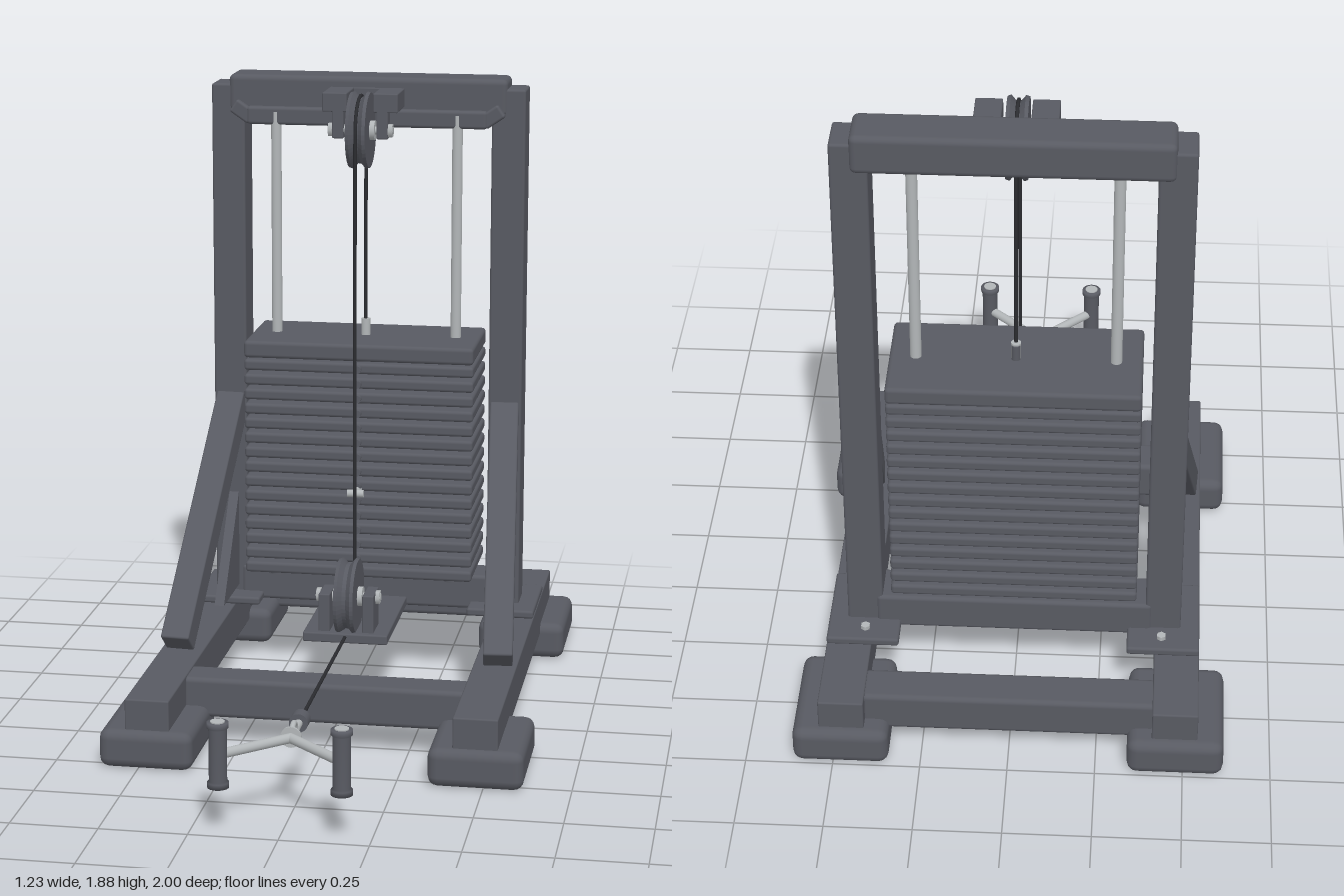
import * as THREE from 'three';
import { RoundedBoxGeometry } from 'three/addons/geometries/RoundedBoxGeometry.js';

const mat = (name, color) => Object.assign(new THREE.MeshStandardMaterial({ color }), { name });

export function createModel() {
  const model = new THREE.Group();
  model.name = 'cableWeightMachine';
  const frame = mat('frameGrey', 0x585a62);
  const metal = mat('brightSteel', 0xb2b6b8);
  const cableMat = mat('cableBlack', 0x2b2c30);
  const V = (x, y, z) => new THREE.Vector3(x, y, z);

  const add = (name, geo, m, parent = model) => {
    const mesh = new THREE.Mesh(geo, m);
    mesh.name = name;
    parent.add(mesh);
    return mesh;
  };
  // Rounded box given by its min and max on each axis
  const box = (name, x0, x1, y0, y1, z0, z1, r = 0.008, m = frame) => {
    const mesh = add(name, new RoundedBoxGeometry(x1 - x0, y1 - y0, z1 - z0, 2, r), m);
    mesh.position.set((x0 + x1) / 2, (y0 + y1) / 2, (z0 + z1) / 2);
    return mesh;
  };
  // Box mirrored to both sides
  const pair = (name, x0, x1, ...rest) => {
    box(name, x0, x1, ...rest);
    box(name, -x1, -x0, ...rest);
  };
  // Cylinder between two points
  const rod = (name, a, b, r, m, sides = 20) => {
    const mesh = add(name, new THREE.CylinderGeometry(r, r, a.distanceTo(b), sides), m);
    mesh.position.copy(a).add(b).multiplyScalar(0.5);
    mesh.quaternion.setFromUnitVectors(V(0, 1, 0), b.clone().sub(a).normalize());
    return mesh;
  };

  // Base: feet, rails, cross beams
  pair('frontFoot', 0.34, 0.615, 0, 0.115, 0.2, 0.545, 0.03);
  pair('backFoot', 0.34, 0.615, 0, 0.115, -1, -0.655, 0.03);
  pair('sideRail', 0.41, 0.54, 0.08, 0.205, -0.97, 0.52, 0.005);
  box('frontCrossBeam', -0.42, 0.42, 0.08, 0.2, 0.17, 0.29, 0.015);
  box('backCrossBeam', -0.42, 0.42, 0.08, 0.2, -0.93, -0.81, 0.015);
  pair('uprightBasePlate', 0.33, 0.54, 0.205, 0.23, -0.72, -0.425);
  box('stackBeam', -0.4, 0.4, 0.205, 0.315, -0.63, -0.5, 0.012);

  // Uprights, top beam, front top bar
  pair('upright', 0.382, 0.485, 0.22, 1.85, -0.625, -0.505);
  box('topBeam', -0.43, 0.43, 1.765, 1.88, -0.637, -0.498, 0.018);
  box('topBar', -0.37, 0.37, 1.73, 1.785, -0.53, -0.475, 0.01);

  for (const s of [1, -1]) {
    // Angled bar tips
    const tip = box('topBarTip', s * 0.385 - 0.035, s * 0.385 + 0.035, 1.745, 1.79, -0.525, -0.48);
    tip.rotation.z = s * 0.6;

    // Diagonal brace
    const a = V(s * 0.486, 0.228, 0.066), b = V(s * 0.43, 0.855, -0.528);
    const brace = add('diagonalBrace', new RoundedBoxGeometry(0.088, 0.08, a.distanceTo(b), 2, 0.006), frame);
    brace.position.copy(a).add(b).multiplyScalar(0.5);
    brace.lookAt(b);

    // Triangular gusset in the z-y plane
    const tri = new THREE.Shape([[0.26, 0.25], [0.51, 0.25], [0.51, 0.56]].map(p => new THREE.Vector2(...p)));
    const gusset = add('gusset', new THREE.ExtrudeGeometry(tri, { depth: 0.03, bevelEnabled: false }), frame);
    gusset.rotation.y = Math.PI / 2;
    gusset.position.x = s * 0.425 - 0.015;

    // Guide rods with bumpers, base bolts
    rod('guideRod', V(s * 0.28, 0.3, -0.49), V(s * 0.28, 1.77, -0.49), 0.016, metal);
    rod('bumper', V(s * 0.28, 0.3, -0.49), V(s * 0.28, 0.35, -0.49), 0.032, frame);
    rod('baseBolt', V(s * 0.43, 0.22, -0.67), V(s * 0.43, 0.242, -0.67), 0.014, metal, 6);
  }

  // Weight stack with hole studs and selector pin
  const plates = 15, pitch = 0.0462;
  for (let i = 0; i < plates; i++) {
    const y = 0.343 + i * pitch;
    box('weightPlate', -0.355, 0.355, y, y + 0.034, -0.65, -0.33, 0.01);
    rod('plateStud', V(0, y + 0.017, -0.34), V(0, y + 0.017, -0.315), 0.012, frame, 12);
  }
  rod('stackCore', V(0, 0.34, -0.49), V(0, 1.13, -0.49), 0.013, frame);
  box('topWeight', -0.355, 0.355, 1.03, 1.083, -0.655, -0.325, 0.012);
  rod('selectorPin', V(0, 0.624, -0.34), V(0, 0.624, -0.29), 0.014, metal);
  rod('selectorPinHead', V(-0.025, 0.624, -0.29), V(0.025, 0.624, -0.29), 0.012, metal);

  // Grooved pulley with axle and nuts
  const profile = [[0.02, -0.03], [0.113, -0.03], [0.116, -0.02], [0.1, -0.006], [0.1, 0.006],
    [0.116, 0.02], [0.113, 0.03], [0.02, 0.03]].map(p => new THREE.Vector2(...p));
  const pulley = (name, y, z) => {
    const geo = new THREE.LatheGeometry(profile, 48).toNonIndexed();
    geo.computeVertexNormals();
    add(name, geo, frame).position.set(0, y, z);
    model.children.at(-1).rotation.z = Math.PI / 2;
    rod(name + 'Axle', V(-0.1, y, z), V(0.1, y, z), 0.012, metal);
    for (const s of [1, -1]) {
      rod(name + 'Washer', V(s * 0.028, y, z), V(s * 0.045, y, z), 0.03, metal);
      rod(name + 'Nut', V(s * 0.085, y, z), V(s * 0.098, y, z), 0.022, metal, 6);
    }
  };
  pulley('topPulley', 1.735, -0.378);
  pair('topPulleyArm', 0.04, 0.115, 1.79, 1.848, -0.51, -0.36, 0.004);
  box('topPulleyMount', -0.115, 0.115, 1.79, 1.848, -0.52, -0.495, 0.004);
  pair('topPulleyHanger', 0.05, 0.085, 1.71, 1.81, -0.405, -0.36, 0.004);
  pulley('lowerPulley', 0.335, -0.163);
  pair('lowerPulleyBracket', 0.05, 0.085, 0.225, 0.352, -0.215, -0.11, 0.004);
  box('lowerPulleyPlate', -0.13, 0.13, 0.205, 0.235, -0.52, -0.09, 0.005);

  // Cable: stack, over the top pulley, under the lower pulley, out to the handles
  const arc = (y, z, r, a0, a1) => Array.from({ length: 13 }, (_, i) => {
    const a = a0 + (a1 - a0) * i / 12;
    return V(0, y + r * Math.sin(a), z + r * Math.cos(a));
  });
  const points = [V(0, 1.1, -0.482), ...arc(1.735, -0.378, 0.104, Math.PI, 0),
    ...arc(0.335, -0.163, 0.111, Math.PI, Math.PI * 1.5), V(0, 0.224, 0.8)];
  const path = new THREE.CurvePath();
  for (let i = 1; i < points.length; i++) path.add(new THREE.LineCurve3(points[i - 1], points[i]));
  add('cable', new THREE.TubeGeometry(path, 300, 0.0055, 8), cableMat);
  rod('cableAnchor', V(0, 1.08, -0.485), V(0, 1.135, -0.485), 0.014, metal);

  // Cable stop, ring and handle yoke
  const hy = 0.224;
  rod('cableStop', V(0, hy, 0.645), V(0, hy, 0.69), 0.027, frame);
  rod('cableFerrule', V(0, hy, 0.69), V(0, hy, 0.735), 0.012, metal);
  const ring = add('ring', new THREE.TorusGeometry(0.026, 0.008, 10, 28), metal);
  ring.position.set(0, hy, 0.762);
  ring.rotation.y = Math.PI / 2;
  rod('yokeWasher', V(0, hy, 0.798), V(0, hy, 0.806), 0.03, metal);
  const grip = [[0, -0.093], [0.03, -0.093], [0.03, -0.078], [0.025, -0.074], [0.025, 0.074],
    [0.03, 0.078], [0.03, 0.093], [0, 0.093]].map(p => new THREE.Vector2(...p));
  for (const s of [1, -1]) {
    rod('yokeArm', V(0, hy, 0.81), V(s * 0.168, hy, 0.968), 0.014, metal);
    add('handleGrip', new THREE.LatheGeometry(grip, 28), frame).position.set(s * 0.17, hy, 0.97);
    rod('handleCap', V(s * 0.17, hy - 0.096, 0.97), V(s * 0.17, hy + 0.096, 0.97), 0.02, metal);
  }
  return model;
}
